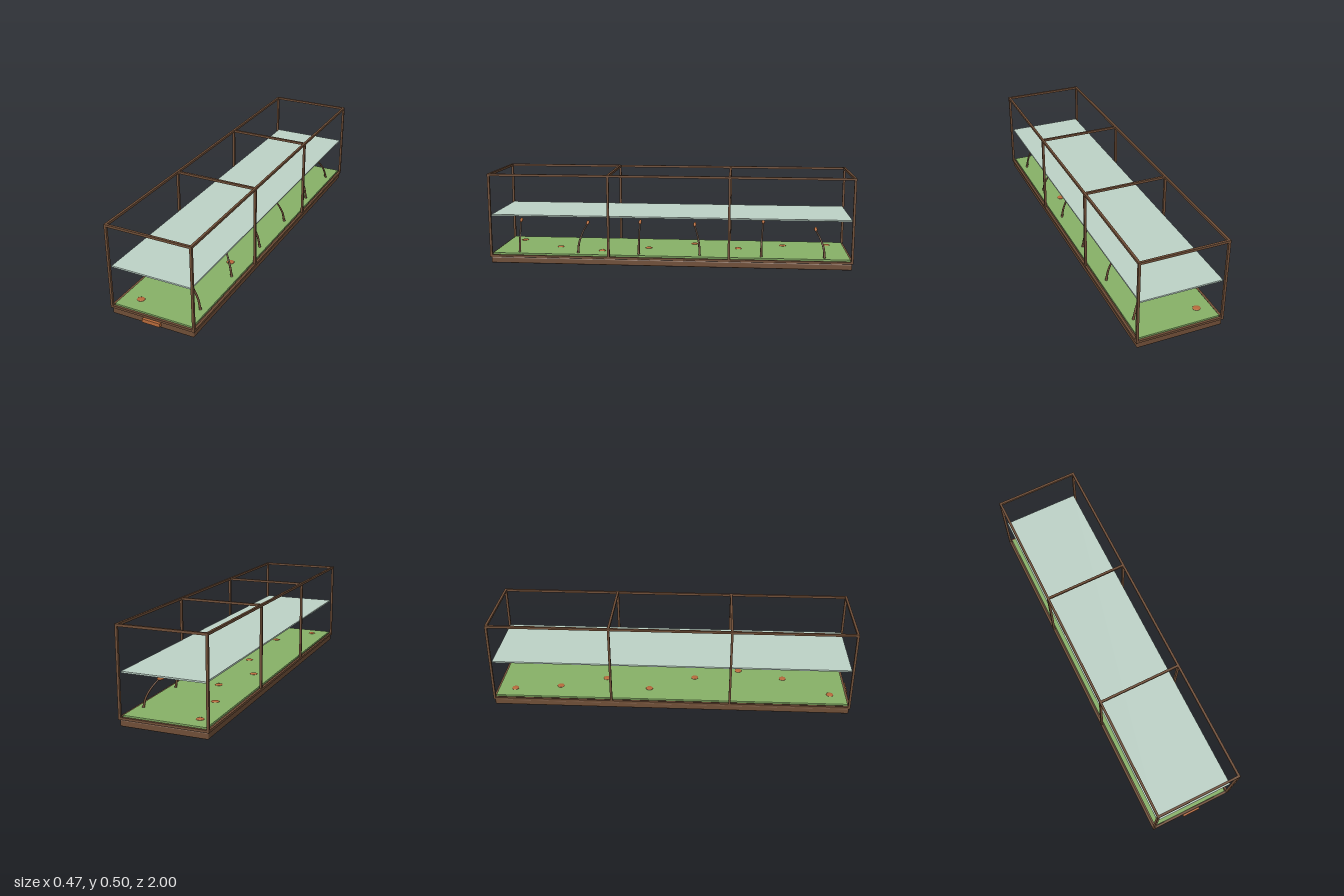
import * as THREE from 'three';
import { RoundedBoxGeometry } from 'three/addons/geometries/RoundedBoxGeometry.js';

const material = (name, color) => {
  const m = new THREE.MeshStandardMaterial({ color });
  m.name = name;
  return m;
};

export function createModel() {
  const wood = material('brown wood', 0x6f4e37);
  const grass = material('grass green', 0x88b268);
  const glass = material('pale glass', 0xbed3c8);
  const copper = material('copper', 0xb86b3c);

  const model = new THREE.Group();
  model.name = 'terrarium';
  const body = new THREE.Group();
  body.name = 'body';
  body.position.z = -0.005;
  model.add(body);

  const add = (parent, name, geometry, mat, x = 0, y = 0, z = 0) => {
    const mesh = new THREE.Mesh(geometry, mat);
    mesh.name = name;
    mesh.position.set(x, y, z);
    parent.add(mesh);
    return mesh;
  };
  const box = (parent, name, w, h, d, mat, x, y, z) =>
    add(parent, name, new THREE.BoxGeometry(w, h, d), mat, x, y, z);

  // Base, plaque, ground and the glass shelf
  add(body, 'base', new RoundedBoxGeometry(0.46, 0.034, 1.98, 3, 0.006), wood, 0, 0.017, 0);
  box(body, 'plaque', 0.1, 0.02, 0.02, copper, 0, 0.021, 0.995);
  box(body, 'ground', 0.436, 0.01, 1.964, grass, 0, 0.05, 0);
  box(body, 'glassShelf', 0.438, 0.008, 1.966, glass, 0, 0.268, 0);

  // Frame: posts, long rails and cross bars
  const frame = new THREE.Group();
  frame.name = 'frame';
  body.add(frame);
  const t = 0.0125, fx = 0.23, fz = 0.989, low = 0.041, high = 0.494;
  for (const side of [-1, 1]) {
    for (const y of [low, high]) {
      box(frame, 'longRail', t, t, 2 * fz + t, wood, side * fx, y, 0);
      box(frame, 'endRail', 2 * fx, t, t, wood, 0, y, side * fz);
    }
    for (const k of [-1, -1 / 3, 1 / 3, 1]) {
      box(frame, 'post', t, high - low, t, wood, side * fx, (low + high) / 2, k * fz);
    }
    box(frame, 'topCrossBar', 2 * fx, t, t, wood, 0, high, side * fz / 3);
  }

  // Curved stems: base z, tip z, height of the head
  const stems = [
    [0.836, 0.842, 0.222], [0.504, 0.461, 0.213], [0.164, 0.164, 0.222],
    [-0.174, -0.142, 0.213], [-0.51, -0.52, 0.236], [-0.852, -0.807, 0.198],
  ];
  const radial = 10, steps = 16;
  for (const [z0, z1, top] of stems) {
    const plant = new THREE.Group();
    plant.name = 'plant';
    model.add(plant);
    const h = top - 0.054;
    const points = [[0.183, 0, 0], [0.172, 0.34, 0.1], [0.149, 0.67, 0.45], [0.117, 0.98, 1]]
      .map(([x, a, b]) => new THREE.Vector3(x, 0.054 + h * a, z0 + (z1 - z0) * b));
    const curve = new THREE.CatmullRomCurve3(points);
    const geometry = new THREE.TubeGeometry(curve, steps, 0.0065, radial);
    // Taper the tube towards the tip
    const p = geometry.attributes.position, v = new THREE.Vector3();
    for (let i = 0; i <= steps; i++) {
      const centre = curve.getPointAt(i / steps);
      for (let j = 0; j <= radial; j++) {
        const n = i * (radial + 1) + j;
        v.fromBufferAttribute(p, n).sub(centre).multiplyScalar(1 - 0.4 * i / steps).add(centre);
        p.setXYZ(n, v.x, v.y, v.z);
      }
    }
    add(plant, 'stem', geometry, wood);
    add(plant, 'stemFoot', new THREE.SphereGeometry(0.007, 12, 8), wood, 0.183, 0.056, z0);
    const head = add(plant, 'head', new THREE.SphereGeometry(1, 18, 12), copper, 0.109, top, z1);
    head.scale.set(0.021, 0.0095, 0.0085);
    head.rotation.z = -0.32;
  }

  // Flat discs lying on the ground
  [-0.124, 0.035, 0.112, 0.022, -0.107, -0.009, -0.104, -0.142].forEach((x, i) => {
    const disc = add(model, 'groundDisc', new THREE.SphereGeometry(1, 18, 10), copper,
      x, 0.055, 0.89 - i * 0.255);
    disc.scale.set(0.021, 0.005, 0.02);
  });

  return model;
}
